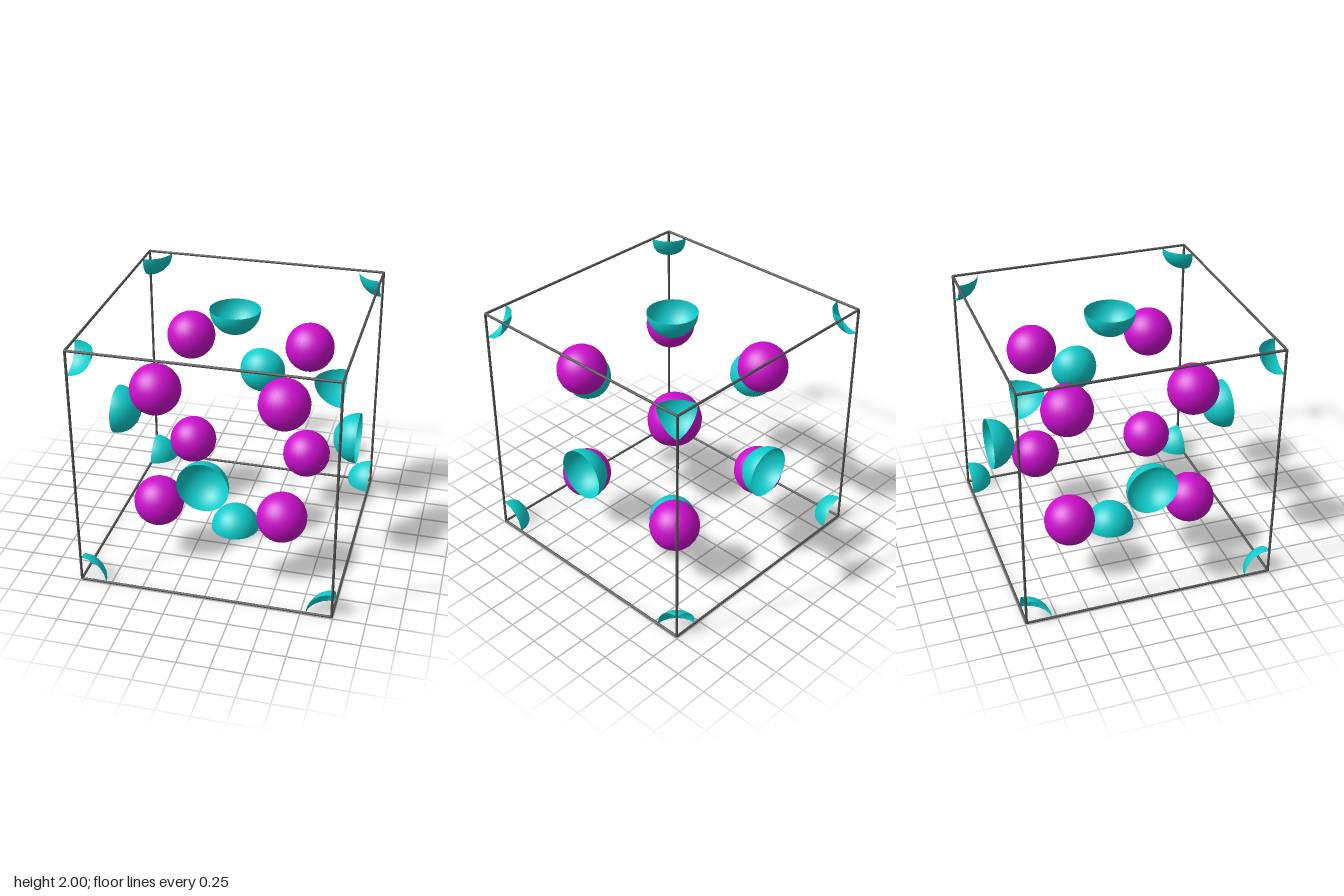
import * as THREE from 'three';

const HALF = 0.99;   // half the cell edge, measured to the bar axes
const R = 0.197;     // atom radius
const BAR = 0.01;    // frame bar radius

export function createModel() {
  const model = new THREE.Group();
  model.name = 'crystalCell';

  const material = (name, color, side = THREE.FrontSide) => {
    const m = new THREE.MeshStandardMaterial({ color, side });
    m.name = name;
    return m;
  };
  const magenta = material('magenta', 0xcc0fcc);
  const cyan = material('cyan', 0x0fcccc, THREE.DoubleSide);
  const grey = material('dark grey', 0x555555);

  const add = (name, geometry, mat, x, y, z) => {
    const mesh = new THREE.Mesh(geometry, mat);
    mesh.name = name;
    mesh.position.set(x, y + 1, z);
    model.add(mesh);
    return mesh;
  };

  // Frame: four bars along each axis
  const bar = new THREE.CylinderGeometry(BAR, BAR, 2 * HALF, 12);
  for (const a of [-HALF, HALF]) {
    for (const b of [-HALF, HALF]) {
      add('frameBarY', bar, grey, a, 0, b);
      add('frameBarX', bar, grey, 0, a, b).rotation.z = Math.PI / 2;
      add('frameBarZ', bar, grey, a, b, 0).rotation.x = Math.PI / 2;
    }
  }

  // Whole atoms in the eight inner sites
  const ball = new THREE.SphereGeometry(R, 24, 24);
  for (const x of [-1, 1])
    for (const y of [-1, 1])
      for (const z of [-1, 1])
        add('innerAtom', ball, magenta, x * HALF / 2, y * HALF / 2, z * HALF / 2);

  // Open shell of the part of an atom inside the cell, for a site with signs sx, sy, sz
  const shell = (name, sx, sy, sz) => {
    const phiLength = 2 * Math.PI / 2 ** (Math.abs(sx) + Math.abs(sz));
    const phiStart = Math.atan2(-sz, sx) - phiLength / 2;
    const thetaStart = sy > 0 ? Math.PI / 2 : 0;
    const thetaLength = sy === 0 ? Math.PI : Math.PI / 2;
    const geometry = new THREE.SphereGeometry(
      R, Math.round(24 * phiLength / (2 * Math.PI)), sy === 0 ? 24 : 12,
      phiStart, phiLength, thetaStart, thetaLength);
    add(name, geometry, cyan, sx * HALF, sy * HALF, sz * HALF);
  };

  // Half atoms on the faces, eighths at the corners
  for (const s of [-1, 1]) {
    shell('faceAtom', s, 0, 0);
    shell('faceAtom', 0, s, 0);
    shell('faceAtom', 0, 0, s);
    for (const y of [-1, 1])
      for (const z of [-1, 1]) shell('cornerAtom', s, y, z);
  }

  return model;
}
